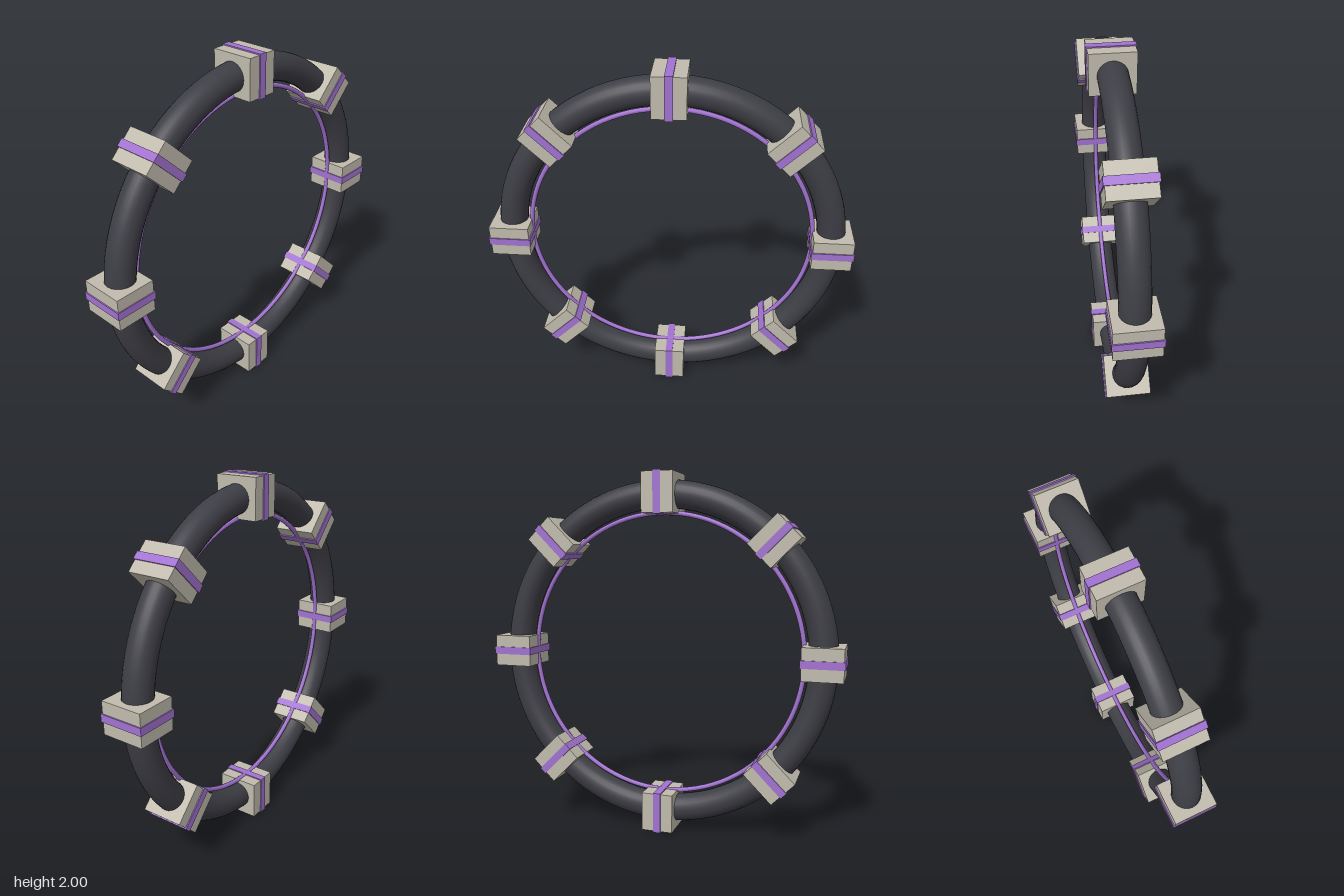
import * as THREE from 'three';

export function createModel() {
  const model = new THREE.Group();
  model.name = 'ringGate';

  const mat = (name, color) => {
    const m = new THREE.MeshStandardMaterial({ color });
    m.name = name;
    return m;
  };
  const darkMetal = mat('darkMetal', 0x3d3d45);
  const paleStone = mat('paleStone', 0xc0bbad);
  const purpleGlow = mat('purpleGlow', 0xa172d0);

  const add = (parent, name, geometry, material) => {
    const mesh = new THREE.Mesh(geometry, material);
    mesh.name = name;
    parent.add(mesh);
    return mesh;
  };

  // Upright ring and the thin hoop just inside it
  add(model, 'mainRing', new THREE.TorusGeometry(0.882, 0.077, 24, 96), darkMetal).position.y = 1;
  add(model, 'innerHoop', new THREE.TorusGeometry(0.782, 0.013, 10, 96), purpleGlow).position.y = 1;

  // Eight clamp blocks, each wrapped by a slightly proud band
  const radius = 0.885;
  const blockGeo = new THREE.BoxGeometry(0.217, 0.176, 0.235);
  const bandGeo = new THREE.BoxGeometry(0.23, 0.042, 0.247);
  for (let i = 0; i < 8; i++) {
    const angle = (i * Math.PI) / 4;
    const clamp = new THREE.Group();
    clamp.name = `clamp${i + 1}`;
    clamp.position.set(Math.cos(angle) * radius, 1 + Math.sin(angle) * radius, 0);
    clamp.rotation.z = angle;
    add(clamp, 'clampBlock', blockGeo, paleStone);
    add(clamp, 'clampBand', bandGeo, purpleGlow);
    model.add(clamp);
  }

  return model;
}
